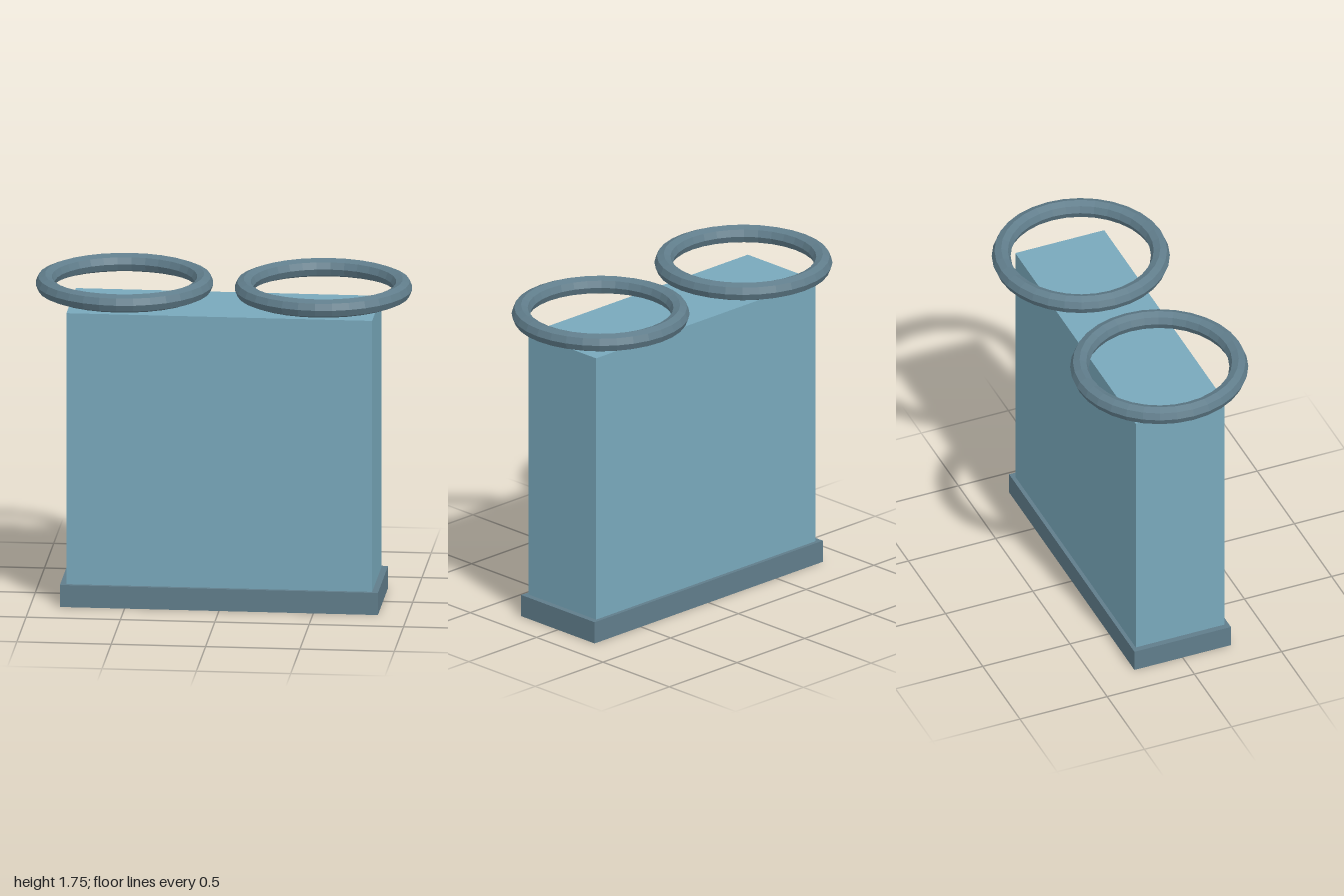
import * as THREE from 'three';

export function createModel() {
  const model = new THREE.Group();
  const bodyMat = new THREE.MeshStandardMaterial({ color: 0x78a8bb, flatShading: true });
  const trimMat = new THREE.MeshStandardMaterial({ color: 0x607d8b, flatShading: true });

  const add = (name, geometry, material, x, y) => {
    const mesh = new THREE.Mesh(geometry, material);
    mesh.name = name;
    mesh.position.set(x, y, 0);
    model.add(mesh);
  };

  // Plinth and the tall slab standing on it
  add('base', new THREE.BoxGeometry(1.685, 0.12, 0.553), trimMat, 0, 0.06);
  add('body', new THREE.BoxGeometry(1.62, 1.48, 0.51), bodyMat, 0, 0.86);

  // Pair of horizontal rings floating just above the slab
  const ring = new THREE.TorusGeometry(0.42, 0.05, 8, 32).rotateX(Math.PI / 2);
  add('leftRing', ring, trimMat, 0.527, 1.705);
  add('rightRing', ring, trimMat, -0.527, 1.705);

  return model;
}
